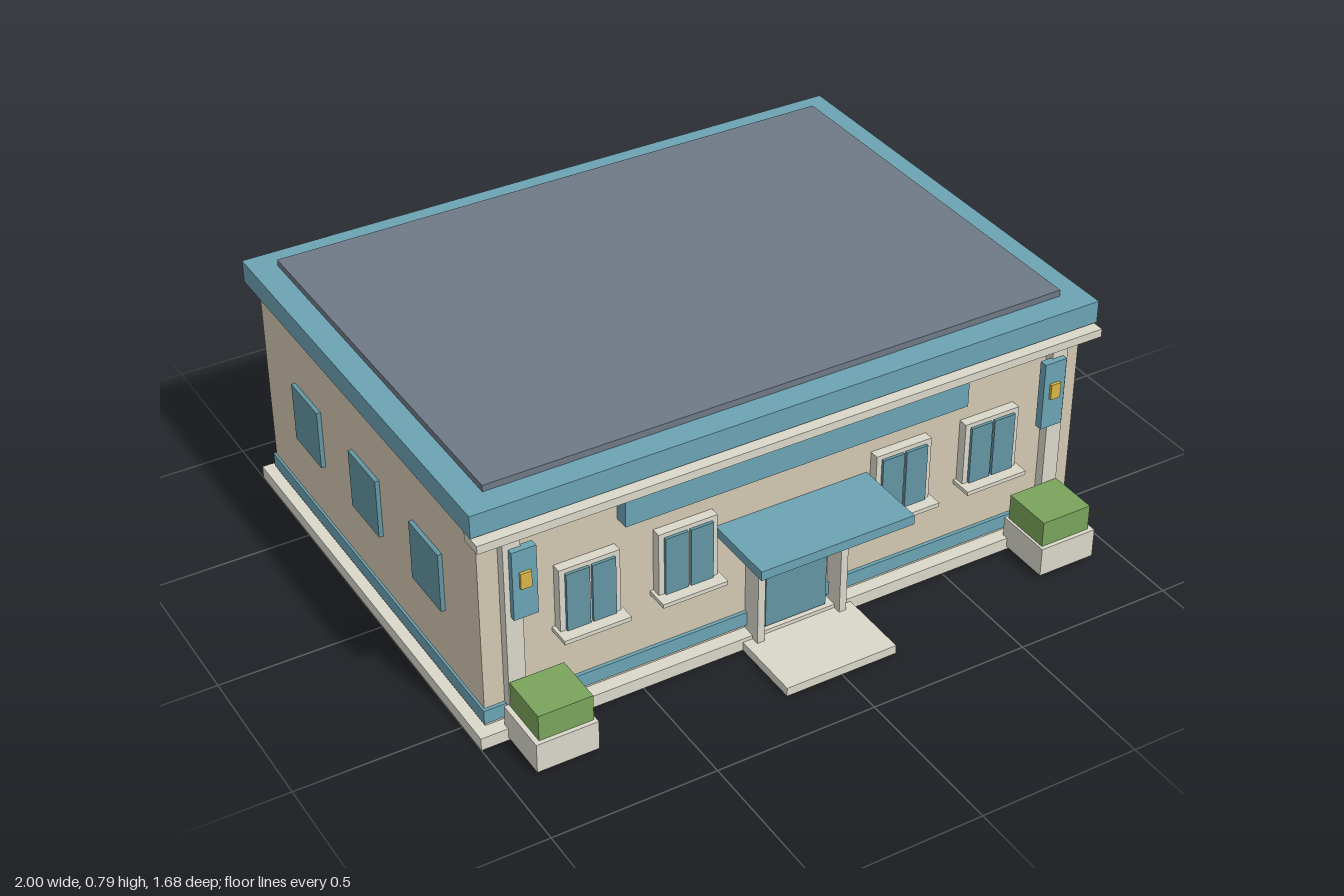
import * as THREE from 'three';

const mat = (color) => new THREE.MeshStandardMaterial({ color });

export function createModel() {
  const model = new THREE.Group();
  model.name = 'building';
  const wall = mat(0xd2c8b2), trim = mat(0xdad7ca), blue = mat(0x6ca3b3), glass = mat(0x6395a2),
    slate = mat(0x6f7886), leaf = mat(0x7aa45c), amber = mat(0xd9b548);

  // Box given by its extents on each axis
  const box = (name, material, [x0, x1], [y0, y1], [z0, z1], parent = model) => {
    const mesh = new THREE.Mesh(new THREE.BoxGeometry(x1 - x0, y1 - y0, z1 - z0), material);
    mesh.position.set((x0 + x1) / 2, (y0 + y1) / 2, (z0 + z1) / 2);
    mesh.name = name;
    parent.add(mesh);
    return mesh;
  };

  // Body, from the ground up
  box('foundation', trim, [-1, 1], [0, 0.04], [-0.84, 0.61]);
  box('walls', wall, [-0.965, 0.965], [0.04, 0.7], [-0.8, 0.567]);
  box('baseBand', blue, [-0.972, 0.972], [0.055, 0.1], [-0.807, 0.578]);
  box('frontCornice', trim, [-0.992, 0.992], [0.668, 0.694], [0.56, 0.632]);
  box('roofSlab', blue, [-0.995, 0.995], [0.7, 0.77], [-0.838, 0.603]);
  box('roofDeck', slate, [-0.917, 0.917], [0.77, 0.79], [-0.76, 0.525]);
  box('signPanel', blue, [-0.55, 0.55], [0.572, 0.667], [0.56, 0.612]);

  // Entrance
  box('frontStep', trim, [-0.18, 0.18], [0, 0.028], [0.56, 0.84]);
  box('door', glass, [-0.1, 0.1], [0.045, 0.375], [0.56, 0.6]);
  box('canopy', blue, [-0.246, 0.246], [0.4, 0.43], [0.56, 0.802]);
  box('doorLintel', trim, [-0.125, 0.125], [0.385, 0.4], [0.56, 0.59]);

  // Front windows: frame, two panes, sill
  for (const x of [-0.652, -0.35, 0.35, 0.652]) {
    const win = new THREE.Group();
    win.name = 'frontWindow';
    win.position.x = x;
    model.add(win);
    box('windowFrame', trim, [-0.092, 0.092], [0.288, 0.494], [0.56, 0.597], win);
    for (const s of [-1, 1])
      box('pane', glass, s < 0 ? [-0.075, -0.004] : [0.004, 0.075], [0.293, 0.48], [0.59, 0.606], win);
    box('windowSill', trim, [-0.102, 0.102], [0.278, 0.291], [0.56, 0.638], win);
  }

  // Parts mirrored left and right
  for (const s of [-1, 1]) {
    const span = (a, b) => (s > 0 ? [a, b] : [-b, -a]);
    box('doorPost', trim, span(0.125, 0.148), [0.028, 0.4], [0.56, 0.635]);
    box('pilaster', trim, span(0.852, 0.904), [0.04, 0.67], [0.56, 0.597]);
    box('lampPanel', blue, span(0.815, 0.888), [0.4, 0.62], [0.59, 0.615]);
    box('lamp', amber, span(0.835, 0.868), [0.5, 0.55], [0.61, 0.624]);
    box('planter', trim, span(0.73, 0.918), [0.01, 0.104], [0.59, 0.773]);
    box('hedge', leaf, span(0.738, 0.903), [0.104, 0.187], [0.6, 0.76]);
    for (const z of [0.27, -0.114, -0.499])
      box('sideWindow', glass, span(0.955, 0.978), [0.29, 0.48], [z - 0.088, z + 0.088]);
  }
  return model;
}
